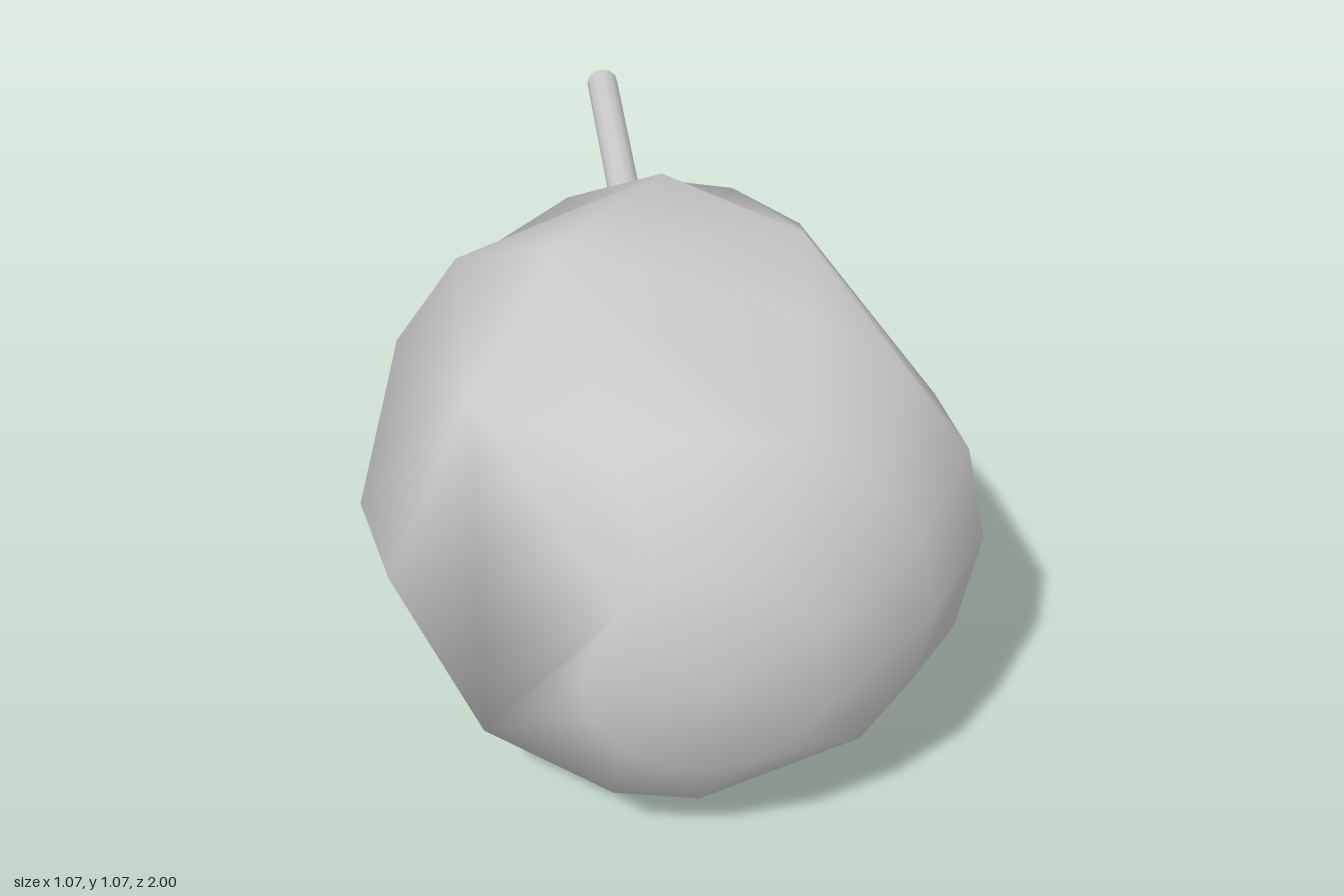
import * as THREE from 'three';

const R = 0.557, RINGS = 8, SEGS = 16;
const CENTER = new THREE.Vector3(0.02, 0.557, 0.443);

// Worn spots of the ball: grid points (ring.segment) merged into another point
const MERGED = {
  // notch at the front, on the -x side
  '2.6': '3.6', '2.7': '3.10', '2.8': '3.10', '2.9': '3.10', '2.10': '3.10',
  '3.7': '3.6', '3.9': '3.8',
  // dip at the upper front
  '1.0': '1.1', '3.4': '4.5', '3.5': '4.5',
  // coarse middle ring
  '4.0': '5.0', '4.1': '3.1', '4.2': '3.2', '4.4': '4.5', '4.6': '5.6',
  '4.7': '5.7', '4.9': '5.9', '4.10': '3.10', '4.13': '4.12', '4.14': '5.14',
  // pinched underside
  '2.13': '2.12', '3.12': '4.12', '3.13': '3.14', '5.10': '4.11',
  '5.11': '4.11', '5.12': '4.12', '5.13': '4.12', '6.12': '4.12', '6.13': '4.12',
  // flat facets around the stick
  '5.1': '5.0', '5.2': '4.3', '5.3': '4.3', '5.5': '5.4', '5.15': '4.15',
  '6.0': '5.0', '6.1': '6.2', '6.7': '6.6', '6.8': '6.9', '6.15': '6.14',
  '7.0': '7.1', '7.13': '7.12', '7.14': '7.12', '7.15': '8.0',
};

function ballGeometry() {
  const positions = [], normals = [], index = [];
  // Sphere grid with its poles on the z axis
  for (let i = 0; i <= RINGS; i++) {
    for (let j = 0; j < SEGS; j++) {
      const t = (i / RINGS) * Math.PI, a = (j / SEGS) * Math.PI * 2;
      const n = new THREE.Vector3(Math.sin(t) * Math.cos(a), Math.sin(t) * Math.sin(a), Math.cos(t));
      normals.push(n.x, n.y, n.z);
      positions.push(...n.multiplyScalar(R).add(CENTER).toArray());
    }
  }
  const id = (i, j) => {
    j %= SEGS;
    if (i === 0 || i === RINGS) return i * SEGS;
    const to = MERGED[i + '.' + j];
    if (!to) return i * SEGS + j;
    const [ti, tj] = to.split('.').map(Number);
    return ti * SEGS + tj;
  };
  const tri = (a, b, c) => {
    if (a !== b && b !== c && c !== a) index.push(a, b, c);
  };
  for (let i = 0; i < RINGS; i++) {
    for (let j = 0; j < SEGS; j++) {
      const a = id(i, j), c = id(i + 1, j + 1);
      tri(a, id(i + 1, j), c);
      tri(a, c, id(i, j + 1));
    }
  }
  const g = new THREE.BufferGeometry();
  g.setAttribute('position', new THREE.Float32BufferAttribute(positions, 3));
  g.setAttribute('normal', new THREE.Float32BufferAttribute(normals, 3));
  g.setIndex(index);
  return g;
}

export function createModel() {
  const group = new THREE.Group();

  // Dented round ball
  const ball = new THREE.Mesh(ballGeometry(),
    new THREE.MeshStandardMaterial({ color: 0xcccccc, side: THREE.DoubleSide }));
  ball.name = 'ball';
  group.add(ball);

  // Thin stick running straight back
  const stick = new THREE.Mesh(new THREE.CylinderGeometry(0.033, 0.033, 0.92, 12),
    new THREE.MeshStandardMaterial({ color: 0xcccccc }));
  stick.name = 'stick';
  stick.rotation.x = Math.PI / 2;
  stick.position.set(0.034, 0.558, -0.54);
  group.add(stick);

  return group;
}
